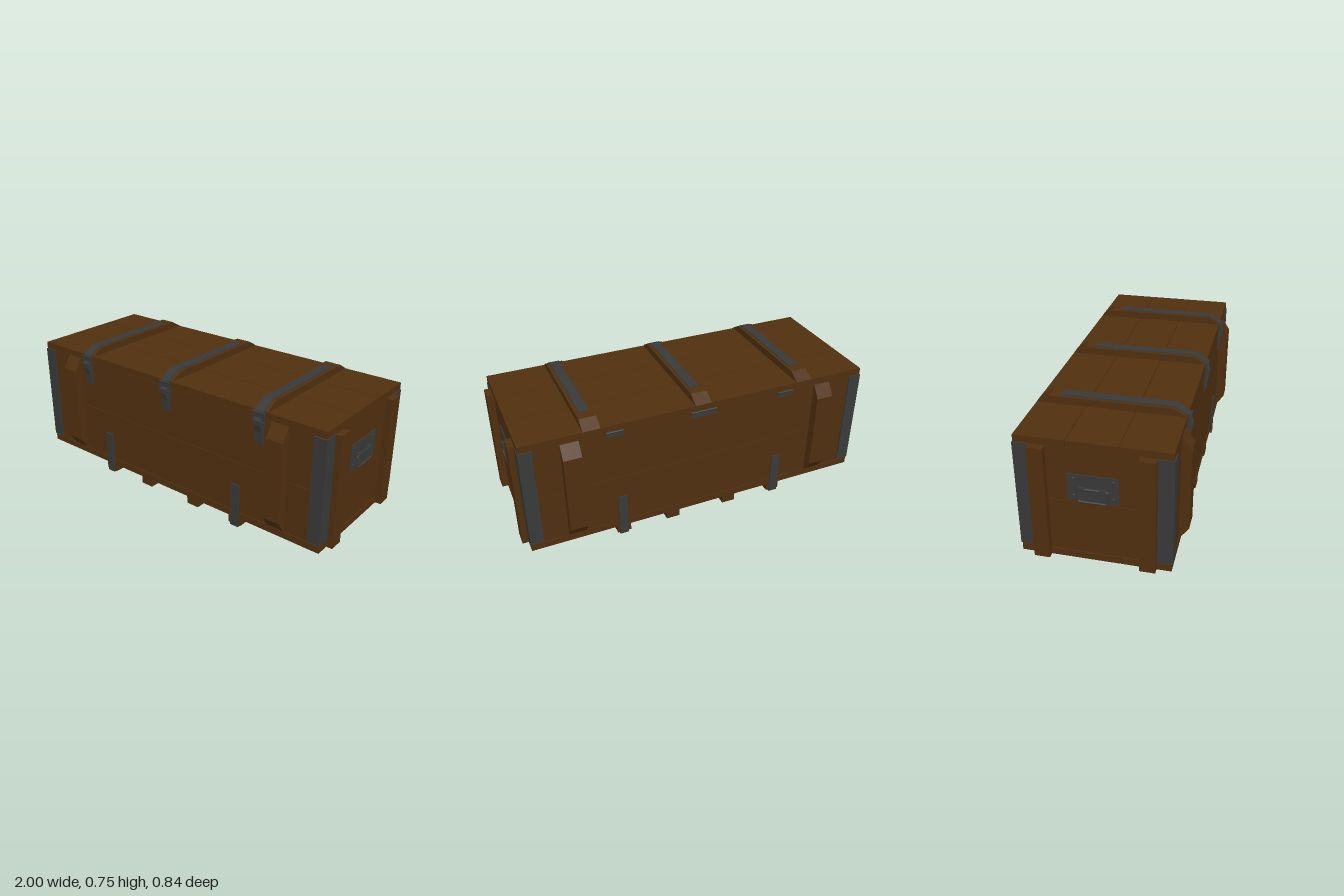
import * as THREE from 'three';

const wood = new THREE.MeshStandardMaterial({ color: 0x502f0f });
wood.name = 'brown wood';
const metal = new THREE.MeshStandardMaterial({ color: 0x383939 });
metal.name = 'dark steel';

export function createModel() {
  const crate = new THREE.Group();
  crate.name = 'woodenCrate';

  function add(name, geometry, material) {
    const mesh = new THREE.Mesh(geometry, material);
    mesh.name = name;
    crate.add(mesh);
    return mesh;
  }
  // Box given by its min and max along each axis
  function box(name, material, [x0, x1], [y0, y1], [z0, z1]) {
    const g = new THREE.BoxGeometry(x1 - x0, y1 - y0, z1 - z0);
    g.translate((x0 + x1) / 2, (y0 + y1) / 2, (z0 + z1) / 2);
    return add(name, g, material);
  }
  // Side profile of [z, y] points, extruded across x
  function profile(name, material, points, x, width) {
    const shape = new THREE.Shape(points.map(([z, y]) => new THREE.Vector2(z, y)));
    const g = new THREE.ExtrudeGeometry(shape, { depth: width, bevelEnabled: false });
    g.translate(0, 0, -width / 2).rotateY(-Math.PI / 2).translate(x, 0, 0);
    return add(name, g, material);
  }
  // Interval mirrored to the chosen side
  const side = (s, a, b) => (s > 0 ? [a, b] : [-b, -a]);

  // Body: a solid core faced with two rows of boards
  box('bodyCore', wood, [-0.955, 0.955], [0.085, 0.675], [-0.36, 0.36]);
  box('lowerBoards', wood, [-0.963, 0.963], [0.092, 0.379], [-0.367, 0.367]);
  box('upperBoards', wood, [-0.963, 0.963], [0.382, 0.668], [-0.367, 0.367]);

  // Floor and lid planks
  for (const [z0, z1] of [[-0.37, -0.125], [-0.122, 0.122], [0.125, 0.37]]) {
    box('floorPlank', wood, [-0.967, 0.967], [0.053, 0.09], [z0, z1]);
    box('lidPlank', wood, [-0.967, 0.967], [0.671, 0.707], [z0, z1]);
  }

  // Chamfered battens on front and back
  for (const s of [-1, 1]) {
    for (const x of [-0.717, 0.717]) {
      const pts = [[0.36, 0.095], [0.373, 0.095], [0.418, 0.16], [0.418, 0.6], [0.373, 0.668], [0.36, 0.668]];
      profile('wallBatten', wood, pts.map(([z, y]) => [z * s, y]), x, 0.095);
    }
  }

  for (const sx of [-1, 1]) {
    for (const sz of [-1, 1]) {
      // End battens and steel corner angles
      box('endBatten', wood, side(sx, 0.96, 1), [0.055, 0.668], side(sz, 0.22, 0.298));
      box('cornerPlateWall', metal, side(sx, 0.9, 0.97), [0.097, 0.668], side(sz, 0.366, 0.375));
      box('cornerPlateEnd', metal, side(sx, 0.961, 0.97), [0.097, 0.668], side(sz, 0.298, 0.375));
    }

    // End plate with rivets and a drop handle
    box('handlePlate', metal, side(sx, 0.96, 0.969), [0.395, 0.536], [-0.123, 0.123]);
    for (const z of [-0.094, 0.094]) {
      for (const y of [0.421, 0.514]) {
        const rivet = new THREE.SphereGeometry(0.008, 10, 6);
        rivet.scale(0.5, 1, 1).translate(sx * 0.969, y, z);
        add('rivet', rivet, metal);
      }
    }
    const corners = [[-0.073, 0.396], [0.073, 0.396], [0.073, 0.466], [-0.073, 0.466]]
      .map(([z, y]) => new THREE.Vector3(sx * 0.977, y, z));
    const path = new THREE.CurvePath();
    corners.forEach((p, i) => {
      const prev = corners[(i + 3) % 4], next = corners[(i + 1) % 4], after = corners[(i + 2) % 4];
      const toward = (a, b) => a.clone().add(b.clone().sub(a).setLength(0.018));
      if (i === 0) path.start = toward(p, prev);
      path.add(new THREE.LineCurve3(toward(p, next), toward(next, p)));
      path.add(new THREE.QuadraticBezierCurve3(toward(next, p), next, toward(next, after)));
    });
    add('handle', new THREE.TubeGeometry(path, 80, 0.006, 8, true), metal);
    for (const z of [-0.05, 0.05]) {
      box('handleClip', metal, side(sx, 0.965, 0.983), [0.458, 0.474], [z - 0.015, z + 0.015]);
    }
  }

  // Lid battens, steel straps and front latches
  for (const x of [-0.6, 0, 0.6]) {
    profile('lidBatten', wood,
      [[-0.37, 0.7], [0.37, 0.7], [0.37, 0.708], [0.307, 0.746], [-0.307, 0.746], [-0.37, 0.708]], x, 0.09);
    profile('lidStrap', metal,
      [[-0.25, 0.744], [0.306, 0.744], [0.368, 0.706], [0.368, 0.66], [0.378, 0.66], [0.378, 0.709],
        [0.308, 0.75], [-0.25, 0.75]], x, 0.054);
    box('latchPlate', metal, [x - 0.026, x + 0.026], [0.535, 0.66], [0.366, 0.376]);
    profile('latchLever', metal,
      [[0.374, 0.545], [0.38, 0.545], [0.384, 0.6], [0.394, 0.635], [0.394, 0.66], [0.384, 0.672], [0.374, 0.672]],
      x, 0.042);
    // Wire loop holding the lever to the lid
    for (const dx of [-0.032, 0.032]) {
      box('latchLoopSide', metal, [x + dx - 0.004, x + dx + 0.004], [0.648, 0.703], [0.377, 0.385]);
    }
    for (const y of [0.652, 0.7]) {
      const bar = new THREE.CylinderGeometry(0.006, 0.006, 0.072, 10);
      bar.rotateZ(Math.PI / 2).translate(x, y, 0.381);
      add('latchBar', bar, metal);
    }
  }

  // Rear hinges
  for (const [x, w] of [[-0.485, 0.09], [0, 0.145], [0.485, 0.09]]) {
    box('hingeLeaf', metal, [x - w / 2, x + w / 2], [0.64, 0.67], [-0.373, -0.36]);
    const pin = new THREE.CylinderGeometry(0.006, 0.006, w, 10);
    pin.rotateZ(Math.PI / 2).translate(x, 0.67, -0.372);
    add('hingePin', pin, metal);
  }

  // Skids, with wrap-around straps on the outer pair
  for (const x of [-0.46, -0.172, 0.172, 0.46]) {
    box('skid', wood, [x - 0.038, x + 0.038], [0.01, 0.055], [-0.37, 0.37]);
  }
  for (const x of [-0.462, 0.462]) {
    profile('skidStrap', metal,
      [[-0.376, 0.002], [0.376, 0.002], [0.376, 0.252], [0.366, 0.252], [0.366, 0.009],
        [-0.366, 0.009], [-0.366, 0.252], [-0.376, 0.252]], x, 0.05);
  }

  return crate;
}
